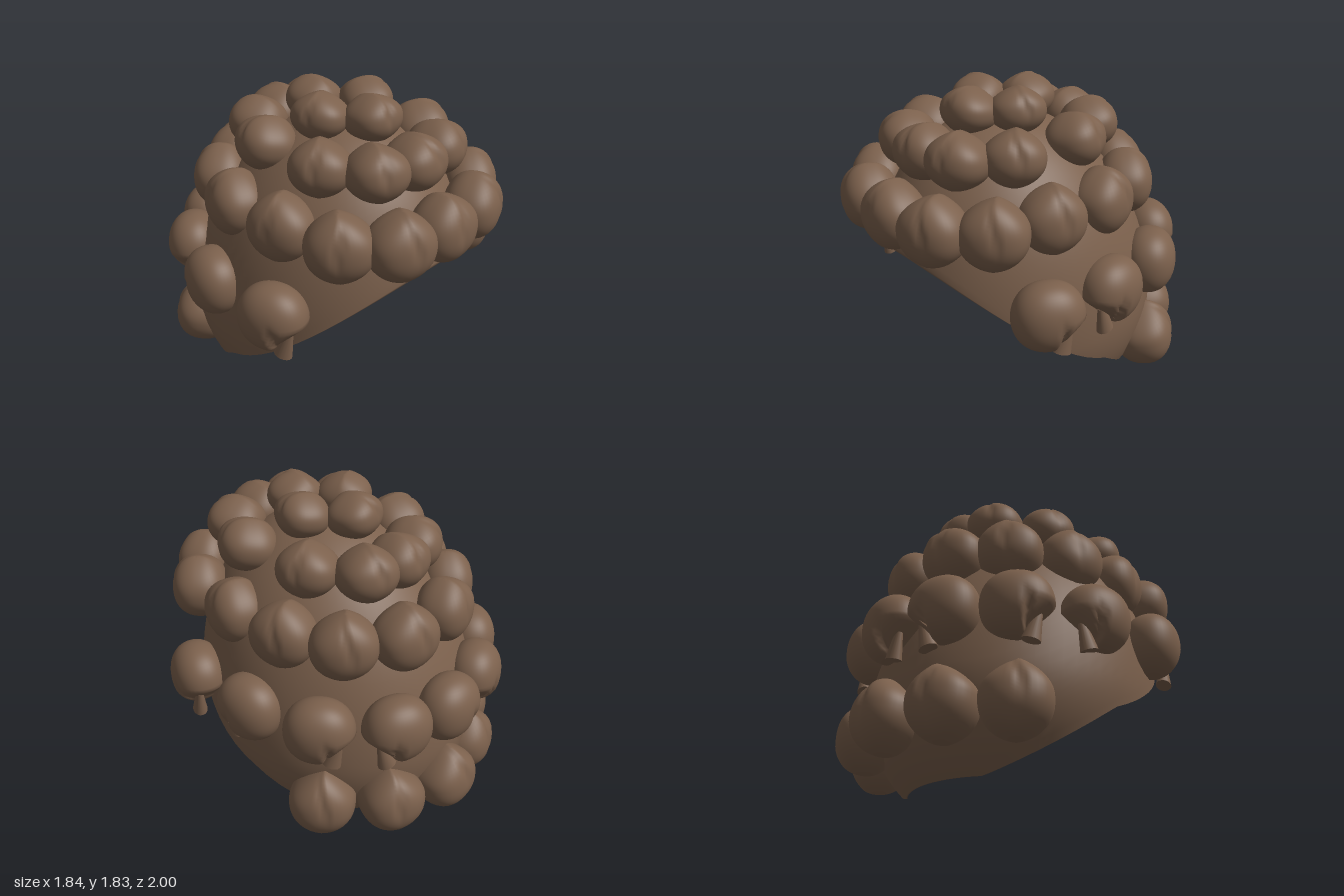
import * as THREE from 'three';
import { mergeVertices } from 'three/addons/utils/BufferGeometryUtils.js';

const hairCurl = new THREE.MeshStandardMaterial({ color: 0x7b604c });
const hairCap = new THREE.MeshStandardMaterial({ color: 0x7b604c, side: THREE.DoubleSide });

// Point on the egg-shaped cap; theta 0 faces the front, phi 0 is the crown
function capPoint(theta, phi) {
  const c = Math.cos(phi), s = Math.sin(phi);
  const y = 0.55 + c * (c > 0 ? 1.12 : 0.74);
  return new THREE.Vector3(0.785 * s * Math.sin(theta), y, -0.03 + 0.1 * y + 0.85 * s * Math.cos(theta));
}

// Height of the slanted opening at depth z
function hemHeight(z) {
  return Math.max(0.006, z > 0 ? 0.37 + 0.4 * z + 0.47 * z * z : 0.37 + 0.73 * z);
}

// Open cap: rings from the crown down to the slanted hem, then a lip tucked under the brow
function capGeometry() {
  const segs = 72, rings = 30, lip = 4, all = rings + lip, pos = [], idx = [];
  for (let i = 0; i < segs; i++) {
    const theta = (i / segs) * Math.PI * 2;
    let lo = 0.3, hi = Math.PI;
    for (let k = 0; k < 30; k++) {
      const mid = (lo + hi) / 2, p = capPoint(theta, mid);
      if (p.y > hemHeight(p.z)) lo = mid; else hi = mid;
    }
    const brow = Math.max(0, Math.cos(theta)) ** 4;
    for (let j = 0; j <= all; j++) {
      const p = capPoint(theta, (lo * Math.min(j, rings)) / rings);
      const t = Math.max(0, j - rings) / lip;
      const tuck = 1 - (0.01 + 0.07 * brow) * t * t;
      pos.push(p.x * tuck, p.y - 0.065 * brow * t, p.z * tuck);
      if (j === all) continue;
      const a = i * (all + 1) + j, b = ((i + 1) % segs) * (all + 1) + j;
      if (j > 0) idx.push(a, a + 1, b);
      idx.push(b, a + 1, b + 1);
    }
  }
  const g = new THREE.BufferGeometry();
  g.setAttribute('position', new THREE.Float32BufferAttribute(pos, 3));
  g.setIndex(idx);
  const merged = mergeVertices(g);
  merged.computeVertexNormals();
  return merged;
}

// Plump lock with a gabled top and a creased face; hooked locks are cut away low on one side
function curlGeometry({ size, gable, hook }, flip) {
  let g = new THREE.SphereGeometry(1, 44, 30);
  g.deleteAttribute('uv');
  g.deleteAttribute('normal');
  g = mergeVertices(g, 1e-4);
  const p = g.attributes.position;
  const power = hook ? 2.15 : 2.4;
  for (let i = 0; i < p.count; i++) {
    let x = p.getX(i), y = p.getY(i), z = p.getZ(i);
    const full = Math.pow(Math.abs(x) ** power + Math.abs(y) ** power + Math.abs(z) ** power, -1 / power);
    x *= full; y *= full; z *= full;
    const side = x * flip;
    if (hook) {
      if (y < 0 && side > 0) x *= 1 - 0.6 * Math.min(1, -y * 1.5);
    } else {
      y *= y > 0 ? 1 - gable * Math.abs(x - 0.1 * flip) : 1 - 0.12 * Math.abs(x);
      x *= 1 - 0.14 * y * y;
      z *= 1 - 0.15 * y * y;
    }
    if (z > 0) {
      const line = side - (hook ? 0.3 - 0.3 * y : 0.12 * Math.cos(2.5 * y));
      const span = hook ? Math.exp(-(((y + 0.45) / 0.4) ** 2)) : Math.exp(-(((y - 0.25) / 0.5) ** 2));
      z -= (hook ? 0.28 : 0.11) * Math.exp(-((line / 0.09) ** 2)) * span * Math.min(1, z * 2);
    }
    p.setXYZ(i, x * size[0], y * size[1], z * size[2]);
  }
  g.computeVertexNormals();
  return g;
}

// Rows of locks: size is half width, half height, half depth; lean tips the top inward; spots are x, z
const rows = [
  { name: 'crownCurl', y: 1.705, size: [0.155, 0.13, 0.145], gable: 0.25, lean: 0.15,
    spots: [[-0.02, -0.08], [-0.18, 0.13], [0.16, 0.14], [0, 0.34]] },
  { name: 'upperCurl', y: 1.545, size: [0.168, 0.155, 0.162], gable: 0.25, lean: 0.2,
    spots: [[-0.375, -0.09], [0.37, -0.09], [-0.21, -0.34], [-0.01, -0.39], [0.21, -0.35],
      [-0.385, 0.34], [0.38, 0.35], [-0.23, 0.58], [0, 0.63], [0.23, 0.59]] },
  { name: 'middleCurl', y: 1.25, size: [0.185, 0.192, 0.155], gable: 0.25, lean: 0.04,
    spots: [[-0.3, 0.81], [0, 0.845], [0.3, 0.81], [-0.52, 0.61], [0.53, 0.61], [-0.585, 0.26], [0.58, 0.27],
      [-0.585, -0.12], [0.58, -0.1], [-0.43, -0.43], [0.46, -0.41], [-0.17, -0.6], [0.19, -0.6]] },
  { name: 'sideCurl', y: 0.82, size: [0.195, 0.19, 0.155], hook: true, lean: 0,
    spots: [[0.75, 0.44], [0.765, 0], [0.67, -0.42], [0.39, -0.72], [0.06, -0.82], [-0.29, -0.76],
      [-0.59, -0.53], [-0.76, -0.13], [-0.755, 0.36]] },
  { name: 'napeCurl', y: 0.32, size: [0.188, 0.208, 0.172], gable: 0.38, lean: 0.12,
    spots: [[0.665, -0.43], [0.4, -0.71], [0.06, -0.83], [-0.29, -0.74], [-0.57, -0.52]] },
];

export function createModel() {
  const model = new THREE.Group();
  const cap = new THREE.Mesh(capGeometry(), hairCap);
  cap.name = 'hairCap';
  model.add(cap);

  for (const row of rows) {
    const shapes = [1, -1].map((flip) => curlGeometry(row, flip));
    row.spots.forEach(([x, z], i) => {
      const flip = i % 2 ? -1 : 1;
      const lock = new THREE.Group();
      lock.name = row.name;
      lock.position.set(x, row.y, z);
      lock.rotation.set(-row.lean, Math.atan2(x, z - 0.06), 0, 'YXZ');
      const curl = new THREE.Mesh(shapes[i % 2], hairCurl);
      curl.name = row.name + 'Body';
      lock.add(curl);
      if (row.hook) {
        // small flared tip hanging under the lock
        const tip = new THREE.Mesh(new THREE.CylinderGeometry(0.025, 0.052, 0.15, 16), hairCurl);
        tip.name = 'curlTip';
        tip.scale.z = 0.8;
        tip.position.set(flip * 0.085, -0.135, 0.03);
        tip.rotation.z = flip * -0.25;
        lock.add(tip);
      }
      model.add(lock);
    });
  }
  return model;
}
